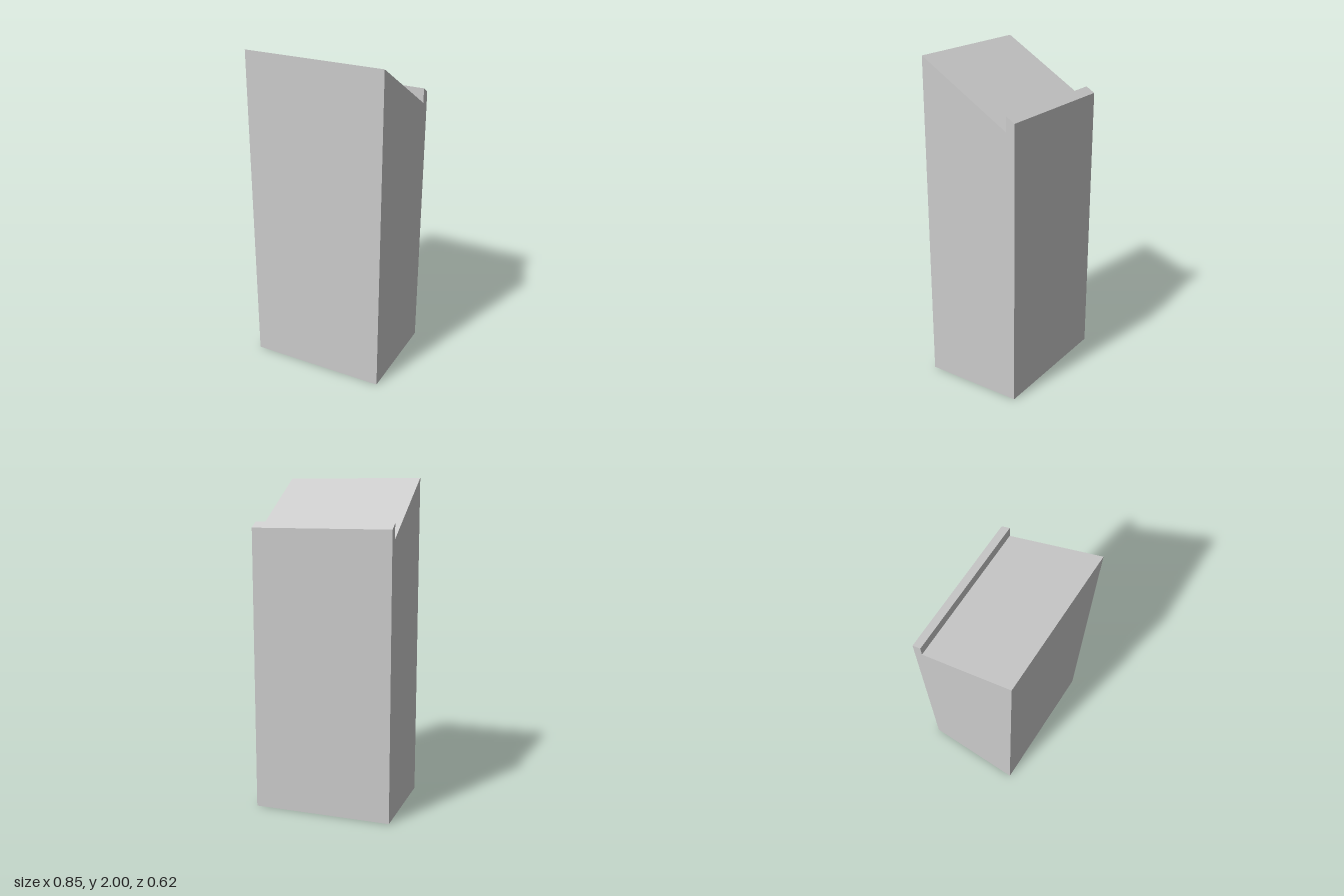
import * as THREE from 'three';

export function createModel() {
  const group = new THREE.Group();
  group.name = 'lectern';
  const width = 0.848;

  // Side profile as (z, y): upright body, sloped top, ledge along the low back edge
  const profile = new THREE.Shape([
    [-0.309, 0], [0.309, 0], [0.309, 2],
    [-0.255, 1.655], [-0.255, 1.743], [-0.309, 1.71],
  ].map(([z, y]) => new THREE.Vector2(z, y)));

  // Extrude across the width, then turn so the profile lies in the z-y plane
  const geometry = new THREE.ExtrudeGeometry(profile, { depth: width, bevelEnabled: false });
  geometry.translate(0, 0, -width / 2);
  geometry.rotateY(-Math.PI / 2);

  const body = new THREE.Mesh(
    geometry,
    new THREE.MeshStandardMaterial({ color: 0xcccccc, flatShading: true }),
  );
  body.name = 'lecternBody';
  group.add(body);
  return group;
}
